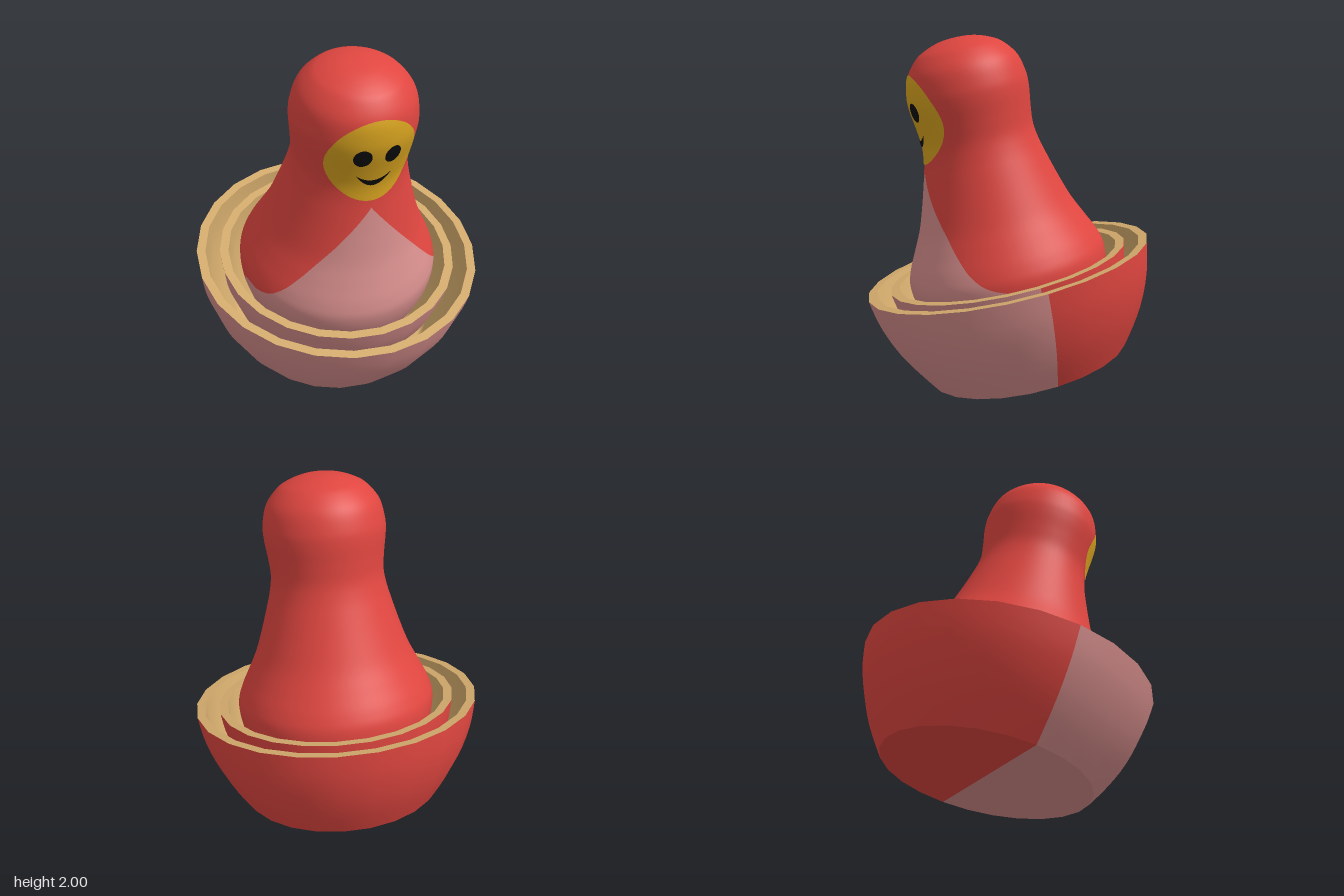
import * as THREE from 'three';

const mat = (name, color) => {
  const m = new THREE.MeshStandardMaterial({ color });
  m.name = name;
  return m;
};
const V = (x, y) => new THREE.Vector2(x, y);

// Doll profile: radius and height, measured from the bowl rim plane
const PROFILE = new THREE.SplineCurve([
  V(0.4, -0.42), V(0.49, -0.3), V(0.555, -0.13), V(0.573, 0), V(0.55, 0.09), V(0.497, 0.2),
  V(0.445, 0.31), V(0.4, 0.44), V(0.358, 0.58), V(0.332, 0.68), V(0.32, 0.77), V(0.328, 0.87),
  V(0.342, 0.98), V(0.341, 1.06), V(0.314, 1.165), V(0.25, 1.247), V(0.19, 1.285),
  V(0.12, 1.311), V(0.06, 1.322), V(0, 1.325),
]).getPoints(114);

function radiusAt(h) {
  const i = Math.max(1, PROFILE.findIndex((p) => p.y >= h));
  const a = PROFILE[i - 1], b = PROFILE[i];
  return a.x + ((b.x - a.x) * (h - a.y)) / (b.y - a.y);
}

// Grid surface from a rule giving a position for (column, row)
function grid(cols, rows, point, normal) {
  const pos = [], nor = [], index = [];
  for (let j = 0; j <= rows; j++) {
    for (let i = 0; i <= cols; i++) {
      pos.push(...point(i / cols, j));
      if (normal) nor.push(...normal(i / cols, j));
      if (i < cols && j < rows) {
        const a = j * (cols + 1) + i, c = a + cols + 1;
        index.push(a, a + 1, c, a + 1, c + 1, c);
      }
    }
  }
  const g = new THREE.BufferGeometry();
  g.setAttribute('position', new THREE.Float32BufferAttribute(pos, 3));
  g.setIndex(index);
  if (normal) g.setAttribute('normal', new THREE.Float32BufferAttribute(nor, 3));
  else g.computeVertexNormals();
  return g;
}

// Part of the doll's skin between two angles that depend on the row
function skin(cols, rows, from, to) {
  const angle = (u, p) => from(p) + (to(p) - from(p)) * u;
  return grid(cols, rows,
    (u, j) => {
      const p = PROFILE[j], t = angle(u, p);
      return [p.x * Math.sin(t), p.y, p.x * Math.cos(t)];
    },
    (u, j) => {
      const t = angle(u, PROFILE[j]);
      const d = PROFILE[Math.min(j + 1, PROFILE.length - 1)].clone().sub(PROFILE[Math.max(j - 1, 0)]).normalize();
      return [d.y * Math.sin(t), -d.x, d.y * Math.cos(t)];
    });
}

// Point on the front of the doll, lifted slightly off the skin
function onFront(x, h, lift) {
  const r = radiusAt(h) + lift;
  return [x, h, Math.sqrt(Math.max(0, r * r - x * x))];
}

// Painted ellipse that follows the skin
function paintedDisc(cx, ch, rx, rh, lift, cols, rows) {
  return grid(cols, rows, (u, j) => {
    const t = u * Math.PI * 2, k = 1 - j / rows;
    return onFront(cx + rx * k * Math.cos(t), ch + rh * k * Math.sin(t), lift);
  });
}

export function createModel() {
  const red = mat('red paint', 0xe04640);
  const pink = mat('pink paint', 0xd68e8c);
  const wood = mat('bare wood', 0xd2aa6c);
  const gold = mat('face yellow', 0xdaa520);
  const black = mat('black', 0x0c0c0c);

  const model = new THREE.Group();
  const tilted = new THREE.Group();
  tilted.name = 'tiltedDoll';
  tilted.position.set(0, 0.7, 0.005);
  tilted.rotation.x = 0.2235;
  model.add(tilted);

  const add = (parent, name, geometry, material) => {
    const m = new THREE.Mesh(geometry, material);
    m.name = name;
    parent.add(m);
  };

  // Nested lower halves: pink in front, red behind, bare wood inside
  function bowl(name, s) {
    const g = new THREE.Group();
    g.name = name;
    const wall = 0.05, floor = -0.583 * s + wall;
    const outer = new THREE.SplineCurve([
      V(0.585, -0.583), V(0.656, -0.475), V(0.722, -0.357), V(0.772, -0.235), V(0.805, -0.12), V(0.825, 0),
    ].map((p) => p.multiplyScalar(s))).getPoints(10);
    const inner = outer.map((p) => V(p.x - wall, Math.max(p.y, floor))).reverse();
    const base = [V(0, outer[0].y), outer[0]];
    for (const [side, start, paint] of [['front', -Math.PI / 2, pink], ['back', Math.PI / 2, red]]) {
      add(g, side + 'Wall', new THREE.LatheGeometry(outer, 12, start, Math.PI), paint);
      add(g, side + 'Base', new THREE.LatheGeometry(base, 12, start, Math.PI), paint);
    }
    const top = outer[outer.length - 1];
    add(g, 'rim', new THREE.LatheGeometry([top, inner[0]], 24), wood);
    add(g, 'inside', new THREE.LatheGeometry(inner.filter((p) => p.y > floor), 24), wood);
    const last = inner.filter((p) => p.y > floor).pop();
    add(g, 'floor', new THREE.LatheGeometry([last, V(last.x - 0.03, floor), V(0, floor)], 24), wood);
    tilted.add(g);
  }
  bowl('outerBowl', 1);
  bowl('innerBowl', 0.838);

  // Innermost doll: red cloak with a pointed pink apron
  const doll = new THREE.Group();
  doll.name = 'innerDoll';
  tilted.add(doll);
  const apronEdge = (p) => Math.asin(Math.min(1, Math.max(0, 0.855 * (0.629 - p.y)) / (p.x || 1)));
  const apronRows = PROFILE.findIndex((p) => p.y > 0.629);
  add(doll, 'cloak', skin(56, PROFILE.length - 1, apronEdge, (p) => Math.PI * 2 - apronEdge(p)), red);
  add(doll, 'apron', skin(28, apronRows, (p) => -apronEdge(p), apronEdge), pink);

  // Painted face
  add(doll, 'face', paintedDisc(0, 0.928, 0.25, 0.252, 0.003, 48, 14), gold);
  for (const side of [-1, 1]) {
    add(doll, side > 0 ? 'leftEye' : 'rightEye', paintedDisc(side * 0.083, 0.976, 0.048, 0.054, 0.007, 24, 4), black);
  }
  add(doll, 'smile', grid(24, 2, (u, j) => {
    const k = 2 * u - 1, arch = 1 - k * k;
    return onFront(0.1 * k, 0.85 - arch * (0.074 - 0.018 * j), 0.007);
  }), black);

  return model;
}
